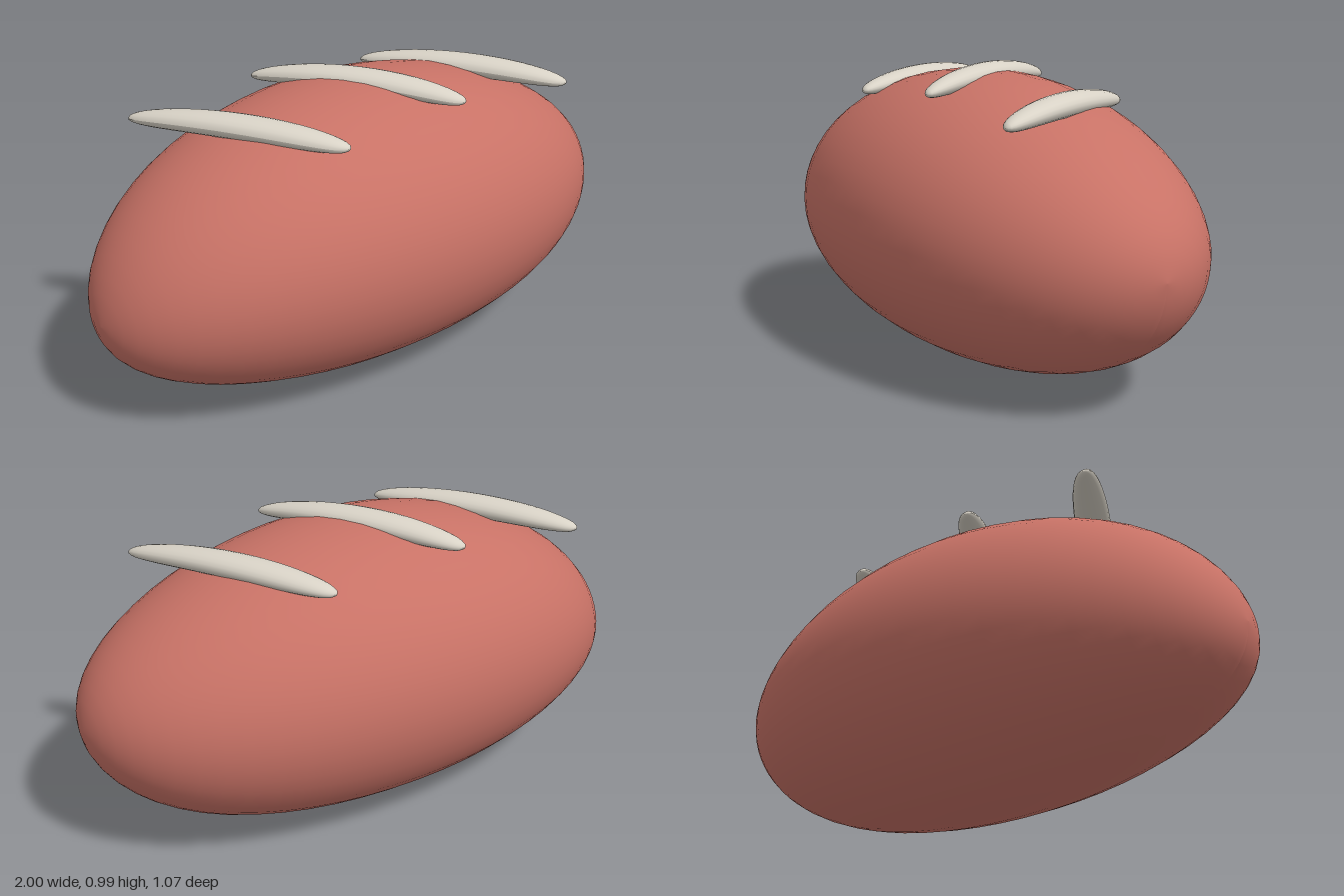
import * as THREE from 'three';

// Move every vertex of a geometry by a rule, then refresh the normals
function reshape(geometry, rule) {
  const pos = geometry.attributes.position;
  const v = new THREE.Vector3();
  for (let i = 0; i < pos.count; i++) {
    rule(v.fromBufferAttribute(pos, i));
    pos.setXYZ(i, v.x, v.y, v.z);
  }
  geometry.computeVertexNormals();
  return geometry;
}

export function createModel() {
  const crust = new THREE.MeshStandardMaterial({ color: 0xc87266 });
  crust.name = 'crust red';
  const cream = new THREE.MeshStandardMaterial({ color: 0xd8d2c6 });
  cream.name = 'cream';

  const model = new THREE.Group();
  model.name = 'loaf';

  // Long rounded body whose ends sag slightly
  const bodyGeometry = new THREE.SphereGeometry(1, 48, 32).rotateZ(Math.PI / 2);
  const body = new THREE.Mesh(reshape(bodyGeometry, (v) => {
    const x = v.x;
    v.y = 0.48 + v.y * 0.48 - 0.06 * x * x + 0.04 * x ** 5;
    v.z *= 0.537;
  }), crust);
  body.name = 'body';
  model.add(body);

  // Slanted strips across the top: centre x, height at the middle and at the ends
  const strips = [
    ['rightStrip', -0.475, 0.899, 0.877],
    ['middleStrip', 0, 0.948, 0.915],
    ['leftStrip', 0.48, 0.897, 0.872],
  ];
  for (const [name, cx, midY, endY] of strips) {
    const geometry = new THREE.SphereGeometry(1, 20, 24).rotateX(Math.PI / 2);
    const strip = new THREE.Mesh(reshape(geometry, (v) => {
      const t = v.z;
      // Blunt the tips while keeping the middle widest
      const fill = 1 / Math.pow(Math.max(1 - t * t, 0.02), 0.12);
      const z = t * 0.325 - 0.005;
      v.x = cx + 0.56 * z + v.x * 0.068 * fill;
      v.y = midY + (endY - midY) * t * t + v.y * 0.038 * fill;
      v.z = z;
    }), cream);
    strip.name = name;
    model.add(strip);
  }
  return model;
}
